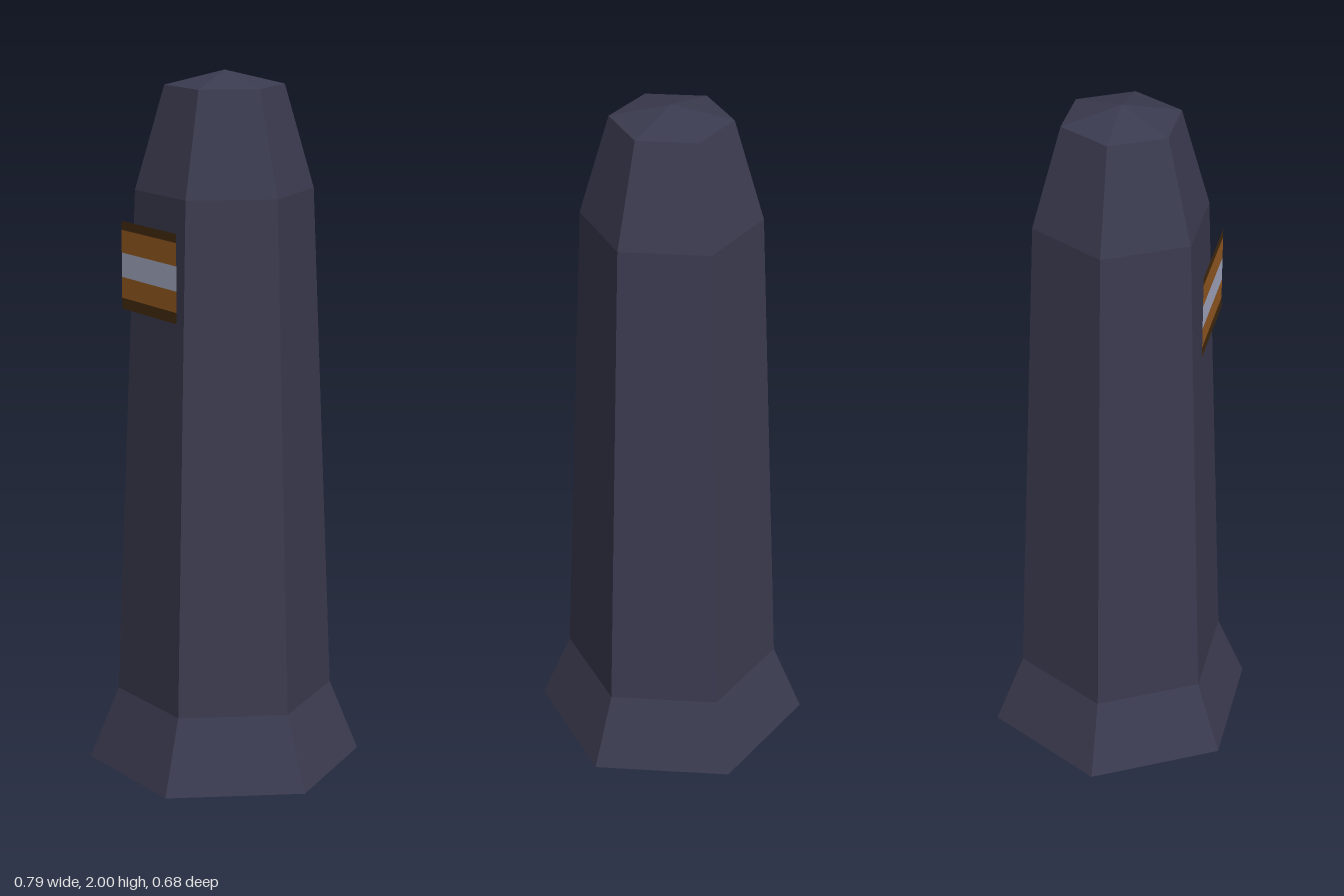
import * as THREE from 'three';

export function createModel() {
  const model = new THREE.Group();
  model.name = 'obelisk';

  const material = (name, color, side = THREE.FrontSide) => {
    const m = new THREE.MeshStandardMaterial({ color, side });
    m.name = name;
    return m;
  };
  const stone = material('dark slate', 0x3b3b50);
  const bronze = material('bronze', 0x9a5c22, THREE.DoubleSide);
  const darkBronze = material('dark bronze', 0x452c10, THREE.DoubleSide);
  const silver = material('silver', 0xaab0c8, THREE.DoubleSide);

  const add = (parent, name, geometry, mat) => {
    const mesh = new THREE.Mesh(geometry, mat);
    mesh.name = name;
    parent.add(mesh);
    return mesh;
  };

  // Six-sided stone tiers: name, bottom y, top y, bottom radius, top radius
  const tiers = [
    ['flaredFoot', 0, 0.21, 0.394, 0.31],
    ['shaft', 0.21, 1.67, 0.31, 0.25],
    ['shoulder', 1.67, 1.96, 0.25, 0.167],
    ['cap', 1.96, 2, 0.167, 0],
  ];
  for (const [name, y0, y1, r0, r1] of tiers) {
    // Corners point along x, flat faces along z
    const tier = new THREE.CylinderGeometry(r1, r0, y1 - y0, 6, 1, true, Math.PI / 2)
      .translate(0, (y0 + y1) / 2, 0)
      .toNonIndexed();
    tier.computeVertexNormals();
    add(model, name, tier, stone);
  }

  // Underside
  add(model, 'underside', new THREE.CircleGeometry(0.394, 6).rotateX(Math.PI / 2), stone);

  // Striped plaque of flat strips standing just off the front face
  const plaque = new THREE.Group();
  plaque.name = 'plaque';
  model.add(plaque);
  const strips = [
    ['lowerBorder', 1.337, 1.368, darkBronze],
    ['lowerBand', 1.368, 1.427, bronze],
    ['middleBand', 1.427, 1.496, silver],
    ['upperBand', 1.496, 1.56, bronze],
    ['upperBorder', 1.56, 1.585, darkBronze],
  ];
  for (const [name, y0, y1, mat] of strips) {
    add(plaque, name, new THREE.PlaneGeometry(0.272, y1 - y0), mat)
      .position.set(0, (y0 + y1) / 2, 0.255);
  }

  return model;
}
